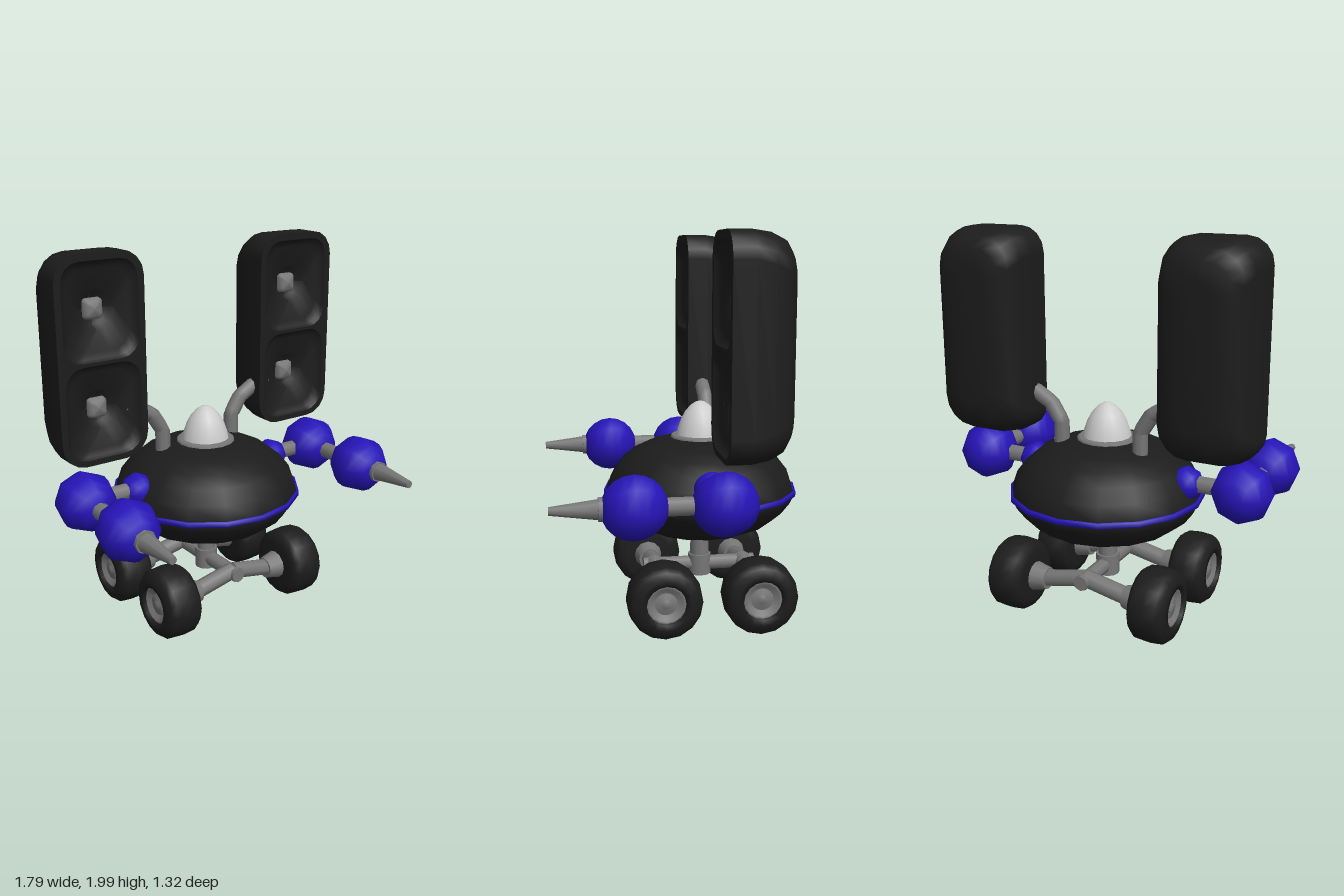
import * as THREE from 'three';

const V = (x, y, z) => new THREE.Vector3(x, y, z);
const mat = (color) => new THREE.MeshStandardMaterial({ color });
const black = mat(0x1c1c1c), blue = mat(0x2614b8), grey = mat(0x777777), pale = mat(0xcccccc);

function add(parent, name, geometry, material, x = 0, y = 0, z = 0) {
  const mesh = new THREE.Mesh(geometry, material);
  mesh.name = name;
  mesh.position.set(x, y, z);
  parent.add(mesh);
  return mesh;
}

const lathe = (pts, n = 16) =>
  new THREE.LatheGeometry(pts.map(([r, y]) => new THREE.Vector2(r, y)), n);

// Tapered rod between two points
function rod(parent, name, a, b, ra, rb = ra, sides = 8, material = grey) {
  const d = b.clone().sub(a);
  const mesh = add(parent, name, new THREE.CylinderGeometry(rb, ra, d.length(), sides), material);
  mesh.position.copy(a).addScaledVector(d, 0.5);
  mesh.quaternion.setFromUnitVectors(V(0, 1, 0), d.normalize());
  return mesh;
}

// Counter-clockwise outline of a rounded rectangle given by half sizes
function roundedRect(w, h, r, cy = 0) {
  r = Math.min(r, w, h);
  const pts = [];
  for (let c = 0; c < 4; c++) {
    const sx = c === 0 || c === 3 ? 1 : -1, sy = c < 2 ? 1 : -1;
    for (let k = 0; k <= 4; k++) {
      const a = (c + k / 4) * Math.PI / 2;
      pts.push(new THREE.Vector2(sx * (w - r) + r * Math.cos(a), cy + sy * (h - r) + r * Math.sin(a)));
    }
  }
  return pts;
}

// Skin over rounded rectangles, each [halfWidth, halfHeight, cornerRadius, z]
function loft(sections) {
  const pos = [], index = [], n = 20;
  sections.forEach(([w, h, r, z], i) => {
    roundedRect(w, h, r).forEach((p, j) => {
      pos.push(p.x, p.y, z);
      if (i === sections.length - 1) return;
      const a = i * n + j, b = i * n + (j + 1) % n;
      index.push(a, a + n, b, b, a + n, b + n);
    });
  });
  const g = new THREE.BufferGeometry();
  g.setAttribute('position', new THREE.Float32BufferAttribute(pos, 3));
  g.setIndex(index);
  g.computeVertexNormals();
  return g;
}

function speaker(x) {
  const g = new THREE.Group();
  g.name = 'speaker';
  g.position.set(x, 1.473, -0.143);
  // Cabinet, rounded towards the back
  add(g, 'cabinet', loft([
    [0.243, 0.527, 0.13, 0], [0.242, 0.527, 0.13, -0.11], [0.228, 0.515, 0.14, -0.2],
    [0.205, 0.485, 0.15, -0.27], [0.16, 0.44, 0.14, -0.305], [0.08, 0.35, 0.08, -0.318], [0, 0, 0, -0.32],
  ]), black);
  // Front frame with two openings
  const cones = [[0.245, 0.245], [-0.257, 0.24]];
  const frame = new THREE.Shape(roundedRect(0.243, 0.527, 0.13));
  for (const [cy, h] of cones) frame.holes.push(new THREE.Path(roundedRect(0.208, h, 0.1, cy).reverse()));
  add(g, 'frontFrame', new THREE.ShapeGeometry(frame), black);
  // Recessed cones with square caps
  for (const [cy, h] of cones) {
    add(g, 'cone', loft([
      [0, 0, 0, -0.1], [0.08, 0.08, 0.08, -0.1], [0.1, 0.1, 0.1, -0.06],
      [0.17, h - 0.04, 0.1, -0.035], [0.195, h - 0.013, 0.1, -0.02], [0.208, h, 0.1, 0],
    ]), black, 0, cy);
    add(g, 'coneCap', loft([
      [0, 0, 0, -0.06], [0.035, 0.035, 0.015, -0.065], [0.05, 0.05, 0.02, -0.08], [0.052, 0.052, 0.02, -0.1],
    ]), grey, 0, cy);
  }
  return g;
}

function arm(s) {
  const g = new THREE.Group();
  g.name = s > 0 ? 'leftArm' : 'rightArm';
  const x = 0.74 * s, y = 0.767, z = -0.143;
  const ball = (r) => new THREE.SphereGeometry(r, 8, 10).rotateX(Math.PI / 2);
  add(g, 'shoulder', ball(0.09), blue, 0.44 * s, 0.762, -0.135);
  rod(g, 'upperArm', V(0.44 * s, y, -0.135), V(x, y, -0.135), 0.045);
  add(g, 'elbow', ball(0.156), blue, x, y, z);
  rod(g, 'forearm', V(x, y, z), V(x, y, 0.28), 0.045);
  add(g, 'wrist', ball(0.156), blue, x, y, 0.275);
  rod(g, 'spikeCollar', V(x, y, 0.4), V(x, y, 0.438), 0.057);
  rod(g, 'spike', V(x, y, 0.43), V(x, y, 0.66), 0.05, 0.02);
  return g;
}

function wheel(s, z) {
  const g = new THREE.Group();
  g.name = 'wheel';
  g.position.set(0.405 * s, 0.2, z);
  g.rotation.z = -s * Math.PI / 2;
  // Tyre, then dished hub on the outer face
  add(g, 'tyre', lathe([
    [0, -0.1], [0.13, -0.1], [0.165, -0.09], [0.186, -0.065], [0.192, 0],
    [0.186, 0.065], [0.165, 0.09], [0.13, 0.102], [0.1, 0.102], [0.095, 0.06],
  ]), black);
  add(g, 'hub', lathe([
    [0.1, 0.085], [0.085, 0.09], [0.06, 0.065], [0.055, 0.075], [0.025, 0.075], [0.02, 0.085], [0, 0.085],
  ].reverse().map(([r, y]) => [r, y]).reverse()), grey);
  return g;
}

export function createModel() {
  const root = new THREE.Group();
  root.name = 'speakerRobot';
  const cz = -0.15;

  // Saucer body
  add(root, 'body', lathe([
    [0, 0.408], [0.13, 0.418], [0.28, 0.455], [0.37, 0.495], [0.44, 0.55], [0.485, 0.61], [0.505, 0.66],
    [0.475, 0.75], [0.42, 0.82], [0.36, 0.87], [0.28, 0.91], [0.16, 0.943], [0, 0.95],
  ]), black, 0, 0, cz);
  add(root, 'rimBand', lathe([[0.49, 0.646], [0.512, 0.648], [0.512, 0.674], [0.49, 0.676]]), blue, 0, 0, cz);
  add(root, 'domeCollar', lathe([[0.157, 0.925], [0.157, 0.947], [0.148, 0.957], [0.12, 0.957]]), grey, 0, 0, cz);
  add(root, 'dome', lathe([
    [0.128, 0.945], [0.12, 0.985], [0.103, 1.035], [0.08, 1.078], [0.05, 1.112], [0.022, 1.13], [0, 1.134],
  ]), pale, 0, 0, cz);

  // Post and lengthwise beam
  const zs = [0.095, -0.388];
  rod(root, 'post', V(0, 0.24, cz), V(0, 0.43, cz), 0.05, 0.05, 12);
  rod(root, 'postSocket', V(0, 0.19, cz), V(0, 0.3, cz), 0.062, 0.062, 12);
  rod(root, 'beam', V(0, 0.245, zs[0] + 0.06), V(0, 0.245, zs[1] - 0.06), 0.04);

  for (const s of [1, -1]) {
    root.add(speaker(0.606 * s), arm(s));

    // Bent speaker bracket
    const path = new THREE.CurvePath();
    const pts = [[0.225, 0.88], [0.225, 1.02], [0.285, 1.115], [0.38, 1.17], [0.46, 1.19]]
      .map(([x, y]) => V(x * s, y, -0.225));
    for (let i = 1; i < pts.length; i++) path.add(new THREE.LineCurve3(pts[i - 1], pts[i]));
    add(root, 'speakerBracket', new THREE.TubeGeometry(path, 16, 0.041, 8), grey);

    // Axle arms and wheels
    for (const z of zs) {
      rod(root, 'axleArm', V(0, 0.252, z), V(0.25 * s, 0.2, z), 0.046);
      rod(root, 'axleHub', V(0.225 * s, 0.2, z), V(0.32 * s, 0.2, z), 0.058, 0.08, 12);
      root.add(wheel(s, z));
    }
  }
  return root;
}
